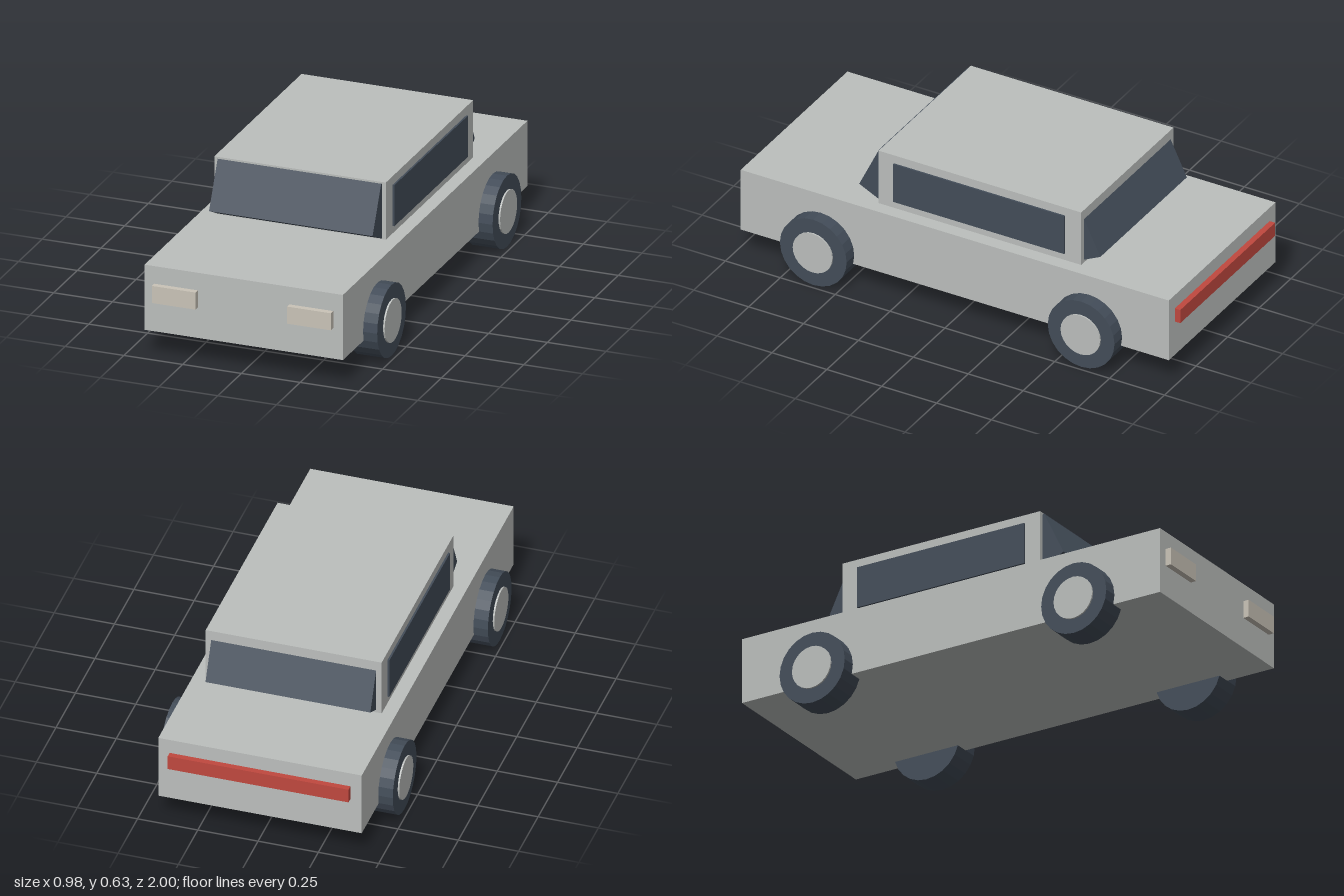
import * as THREE from 'three';

const material = (name, color) => {
  const m = new THREE.MeshStandardMaterial({ color, flatShading: true });
  m.name = name;
  return m;
};

export function createModel() {
  const car = new THREE.Group();
  car.name = 'car';
  const silver = material('silver paint', 0xbcbfbd);
  const dark = material('dark glass and rubber', 0x434d59);
  const cream = material('cream lamp', 0xcac4b8);
  const red = material('red lamp', 0xc0483f);

  const add = (name, geometry, mat, x, y, z) => {
    const mesh = new THREE.Mesh(geometry, mat);
    mesh.name = name;
    mesh.position.set(x, y, z);
    car.add(mesh);
    return mesh;
  };
  // Box given by its extents along each axis
  const box = (name, mat, [x0, x1], [y0, y1], [z0, z1]) =>
    add(name, new THREE.BoxGeometry(x1 - x0, y1 - y0, z1 - z0), mat,
      (x0 + x1) / 2, (y0 + y1) / 2, (z0 + z1) / 2);

  // Body and cabin
  box('body', silver, [-0.422, 0.422], [0.112, 0.39], [-0.975, 0.975]);
  box('cabin', silver, [-0.365, 0.365], [0.39, 0.634], [-0.543, 0.38]);

  // Sloping screens: thick tilted slabs set into the cabin ends
  const tilt = 0.45, height = 0.21, depth = 0.11;
  const screen = (name, width, dir, edgeZ, edgeY) => {
    // Slab origin is its outer lower edge
    const geometry = new THREE.BoxGeometry(width, height, depth);
    geometry.translate(0, height / 2, -dir * depth / 2);
    add(name, geometry, dark, 0, edgeY, edgeZ).rotation.x = -dir * tilt;
  };
  screen('windscreen', 0.696, 1, 0.478, 0.44);
  screen('rearWindow', 0.684, -1, -0.617, 0.438);

  // Parts mirrored left and right
  for (const [side, s] of [['left', 1], ['right', -1]]) {
    const span = (a, b) => (s > 0 ? [a, b] : [-b, -a]);
    box(side + 'SideWindow', dark, span(0.364, 0.373), [0.422, 0.597], [-0.47, 0.31]);
    box(side + 'Headlight', cream, span(0.195, 0.381), [0.242, 0.315], [0.97, 1]);

    for (const [end, z] of [['Front', 0.61], ['Rear', -0.61]]) {
      const disc = (name, r, x0, x1, mat) => {
        const geometry = new THREE.CylinderGeometry(r, r, x1 - x0, 24).rotateZ(Math.PI / 2);
        add(side + end + name, geometry, mat, s * (x0 + x1) / 2, 0.152, z);
      };
      disc('Tyre', 0.152, 0.365, 0.482, dark);
      disc('Hub', 0.09, 0.4, 0.489, silver);
    }
  }

  // Full-width rear lamp
  box('tailLight', red, [-0.375, 0.375], [0.267, 0.328], [-1, -0.97]);
  return car;
}
